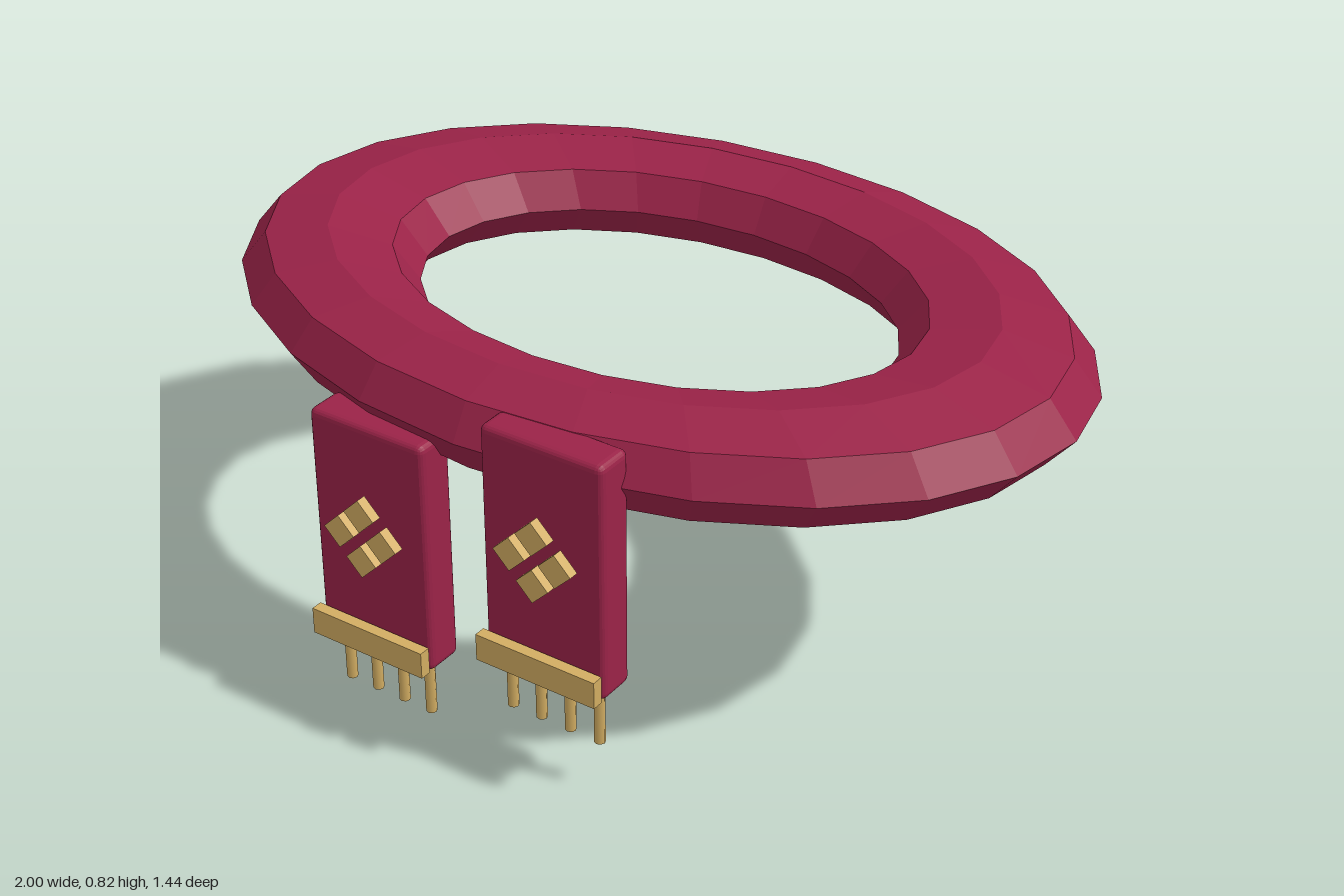
import * as THREE from 'three';
import { RoundedBoxGeometry } from 'three/addons/geometries/RoundedBoxGeometry.js';

const crimson = new THREE.MeshStandardMaterial({ color: 0x9b2348, flatShading: true });
crimson.name = 'crimson';
const gold = new THREE.MeshStandardMaterial({ color: 0xd2ad62 });
gold.name = 'gold';

function add(parent, name, geometry, material, x, y, z) {
  const mesh = new THREE.Mesh(geometry, material);
  mesh.name = name;
  mesh.position.set(x, y, z);
  parent.add(mesh);
  return mesh;
}

// Hanging cloth tab with gold hem, four-diamond emblem and tassels
function createTab(name) {
  const tab = new THREE.Group();
  tab.name = name;
  add(tab, 'cloth', new RoundedBoxGeometry(0.292, 0.546, 0.093, 2, 0.016), crimson, 0, 0.406, 0.643);
  add(tab, 'hem', new THREE.BoxGeometry(0.292, 0.062, 0.026), gold, 0, 0.171, 0.709);

  const diamond = new THREE.BoxGeometry(0.055, 0.055, 0.023).rotateZ(Math.PI / 4);
  for (const [dx, dy] of [[0, 1], [1, 0], [0, -1], [-1, 0]]) {
    add(tab, 'diamond', diamond, gold, dx * 0.055, 0.43 + dy * 0.055, 0.711);
  }

  const tassel = new THREE.CylinderGeometry(0.012, 0.012, 0.146, 8);
  for (let i = 0; i < 4; i++) {
    add(tab, 'tassel', tassel, gold, (i - 1.5) * 0.0727, 0.073, 0.652);
  }
  return tab;
}

export function createModel() {
  const model = new THREE.Group();
  model.name = 'ovalBand';

  // Faceted oval ring, flattened in height and depth
  const ring = new THREE.TorusGeometry(0.78, 0.22, 8, 24);
  ring.scale(1, 0.7, 0.495).rotateX(Math.PI / 2);
  add(model, 'ring', ring, crimson, 0, 0.713, -0.021);

  // Two tabs at the front, the left one higher
  const rightTab = createTab('rightTab');
  rightTab.position.x = -0.221;
  const leftTab = createTab('leftTab');
  leftTab.position.set(0.218, 0.11, 0);
  model.add(rightTab, leftTab);

  return model;
}
